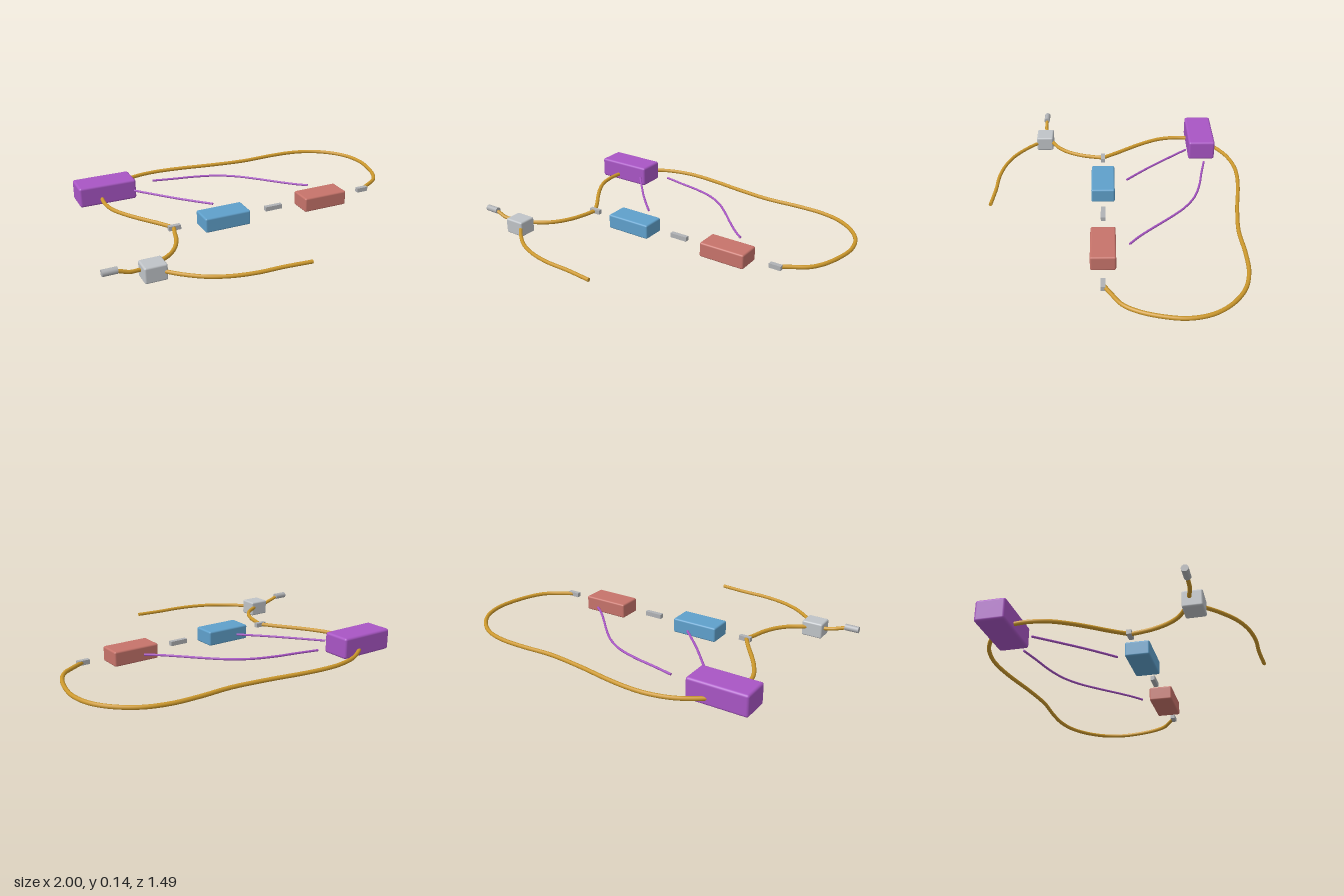
import * as THREE from 'three';
import { RoundedBoxGeometry } from 'three/addons/geometries/RoundedBoxGeometry.js';

export function createModel() {
  const group = new THREE.Group();
  const material = (name, color) => {
    const m = new THREE.MeshStandardMaterial({ color });
    m.name = name;
    return m;
  };
  const gold = material('cableGold', 0xcc982c);
  const purple = material('modulePurple', 0xa855c4);
  const blue = material('moduleBlue', 0x5fa0cb);
  const red = material('moduleRed', 0xc6736a);
  const pale = material('junctionGrey', 0xbfc3c7);
  const grey = material('connectorGrey', 0xb0b2b5);

  const add = (name, geometry, mat, x = 0, y = 0, z = 0) => {
    const mesh = new THREE.Mesh(geometry, mat);
    mesh.name = name;
    mesh.position.set(x, y, z);
    group.add(mesh);
    return mesh;
  };

  // Smooth tube through [x, z, y] points with a flat disc on both ends
  const cable = (name, points, y, radius, mat) => {
    const curve = new THREE.CatmullRomCurve3(
      points.map(([px, pz, py = y]) => new THREE.Vector3(px, py, pz)));
    const part = new THREE.Group();
    part.name = name;
    part.add(new THREE.Mesh(new THREE.TubeGeometry(curve, points.length * 7, radius, 10), mat));
    for (const t of [0, 1]) {
      const cap = new THREE.Mesh(new THREE.CircleGeometry(radius, 10), mat);
      const outward = curve.getTangentAt(t).multiplyScalar(t ? 1 : -1);
      cap.position.copy(curve.getPointAt(t));
      cap.quaternion.setFromUnitVectors(new THREE.Vector3(0, 0, 1), outward);
      part.add(cap);
    }
    group.add(part);
  };

  // Module housings
  const box = (name, w, h, d, r, mat, x, y, z) =>
    add(name, new RoundedBoxGeometry(w, h, d, 3, r), mat, x, y, z);
  box('controlModule', 0.345, 0.122, 0.165, 0.014, purple, -0.69, 0.083, -0.55);
  box('blueModule', 0.274, 0.086, 0.138, 0.01, blue, -0.188, 0.058, 0.077);
  box('redModule', 0.274, 0.086, 0.138, 0.01, red, 0.441, 0.058, 0.077);
  box('junctionBox', 0.122, 0.09, 0.105, 0.01, pale, -0.741, 0.046, 0.457);

  // Inline connectors
  [[-0.483, 0.07], [0.127, 0.105], [0.736, 0.07]].forEach(([x, length], i) =>
    add('inlineConnector' + (i + 1), new THREE.BoxGeometry(length, 0.026, 0.026), grey, x, 0.058, 0.077));

  // Round plug at the free end
  const plug = add('endPlug', new THREE.CylinderGeometry(0.0185, 0.0185, 0.08, 16), grey, -0.96, 0.089, 0.457);
  plug.rotation.z = Math.PI / 2;

  // Main cables
  cable('loopCable', [
    [-0.67, -0.59], [-0.615, -0.638], [-0.5, -0.705], [-0.37, -0.738], [-0.26, -0.741],
    [-0.13, -0.728], [0.09, -0.692], [0.3, -0.67], [0.49, -0.678], [0.65, -0.672],
    [0.78, -0.635], [0.89, -0.555], [0.96, -0.455], [0.988, -0.335], [0.975, -0.215],
    [0.935, -0.09], [0.885, -0.015], [0.81, 0.035], [0.745, 0.074]], 0.058, 0.0115, gold);
  cable('moduleCable', [
    [-0.715, -0.53], [-0.732, -0.46], [-0.735, -0.38], [-0.718, -0.29], [-0.672, -0.195],
    [-0.61, -0.1], [-0.545, -0.01], [-0.49, 0.075]], 0.058, 0.0115, gold);
  cable('junctionCable', [
    [-0.487, 0.077, 0.058], [-0.505, 0.14], [-0.525, 0.215], [-0.567, 0.3], [-0.62, 0.36],
    [-0.69, 0.405], [-0.74, 0.44]], 0.054, 0.0115, gold);
  cable('tailCable', [
    [-0.735, 0.45], [-0.69, 0.505], [-0.625, 0.57], [-0.53, 0.64], [-0.42, 0.686],
    [-0.29, 0.711], [-0.15, 0.716], [0.01, 0.731]], 0.048, 0.0105, gold);
  cable('plugCable', [
    [-0.94, 0.457, 0.088], [-0.91, 0.457, 0.08], [-0.86, 0.457, 0.063], [-0.8, 0.444, 0.055],
    [-0.75, 0.45, 0.053]], 0.06, 0.0105, gold);

  // Thin signal wires
  cable('shortWire', [
    [-0.537, -0.449], [-0.46, -0.358], [-0.342, -0.222], [-0.262, -0.138], [-0.19, -0.066]],
  0.083, 0.0065, purple);
  cable('longWire', [
    [-0.387, -0.55], [-0.26, -0.522], [-0.128, -0.496], [0.005, -0.452], [0.112, -0.384],
    [0.203, -0.298], [0.3, -0.195], [0.38, -0.115], [0.44, -0.066]], 0.083, 0.0065, purple);

  return group;
}
